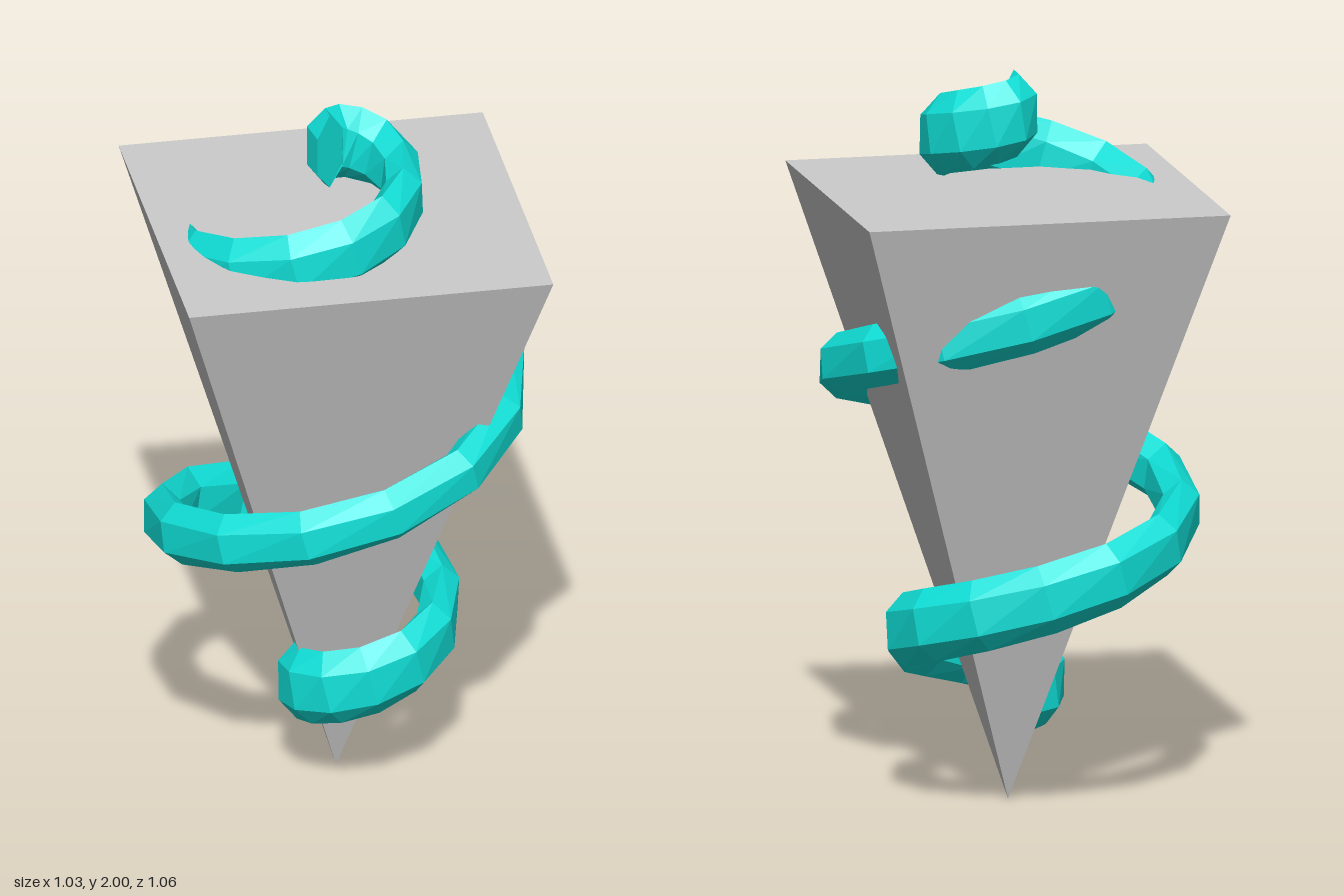
import * as THREE from 'three';

const STEPS = 40, SIDES = 6, TURNS = 3;
const RADIUS = 0.49, HEIGHT = 0.8, MIDDLE = 1.09;

// Spherical spiral: t runs from 0 at the bottom pole to PI at the top pole
function spiralPoint(t) {
  const angle = THREE.MathUtils.degToRad(234) - 2 * TURNS * t;
  const r = RADIUS * Math.sin(t);
  return new THREE.Vector3(r * Math.cos(angle), MIDDLE - HEIGHT * Math.cos(t), r * Math.sin(angle));
}

// Six-sided band swept along the spiral, taller towards both ends
function spiralGeometry() {
  const positions = [], index = [];
  const up = new THREE.Vector3(0, 1, 0);
  for (let i = 0; i <= STEPS; i++) {
    const t = (Math.PI * i) / STEPS;
    const centre = spiralPoint(t);
    const tangent = spiralPoint(t + 0.001).sub(spiralPoint(t - 0.001)).normalize();
    const side = tangent.clone().cross(up).normalize();
    const rise = side.clone().cross(tangent);
    const halfHeight = 0.077 + 0.033 * Math.abs(Math.cos(t));
    for (let j = 0; j < SIDES; j++) {
      const a = Math.PI / 6 + (j * 2 * Math.PI) / SIDES;
      const p = centre.clone()
        .addScaledVector(side, 0.056 * Math.cos(a))
        .addScaledVector(rise, halfHeight * Math.sin(a));
      positions.push(p.x, p.y, p.z);
    }
  }
  for (let i = 0; i < STEPS; i++) {
    for (let j = 0; j < SIDES; j++) {
      const a = i * SIDES + j, b = i * SIDES + ((j + 1) % SIDES);
      index.push(a, a + SIDES, b + SIDES, a, b + SIDES, b);
    }
  }
  // End caps
  const last = STEPS * SIDES;
  for (let j = 1; j < SIDES - 1; j++) {
    index.push(0, j, j + 1, last, last + j + 1, last + j);
  }
  const indexed = new THREE.BufferGeometry();
  indexed.setAttribute('position', new THREE.Float32BufferAttribute(positions, 3));
  indexed.setIndex(index);
  const geometry = indexed.toNonIndexed();
  geometry.computeVertexNormals();
  return geometry;
}

export function createModel() {
  const group = new THREE.Group();

  // Upside-down square pyramid standing on its tip
  const height = 1.68;
  const pyramidGeometry = new THREE.ConeGeometry(Math.SQRT1_2, height, 4);
  pyramidGeometry.rotateY(Math.PI / 4).rotateX(Math.PI);
  const pyramid = new THREE.Mesh(
    pyramidGeometry,
    new THREE.MeshStandardMaterial({ color: 0xcccccc, flatShading: true })
  );
  pyramid.name = 'invertedPyramid';
  pyramid.position.set(0.022, height / 2, -0.025);
  group.add(pyramid);

  // Spiral band winding through and around the pyramid
  const spiral = new THREE.Mesh(
    spiralGeometry(),
    new THREE.MeshStandardMaterial({ color: 0x10e0d8, flatShading: true })
  );
  spiral.name = 'spiralBand';
  group.add(spiral);

  return group;
}
